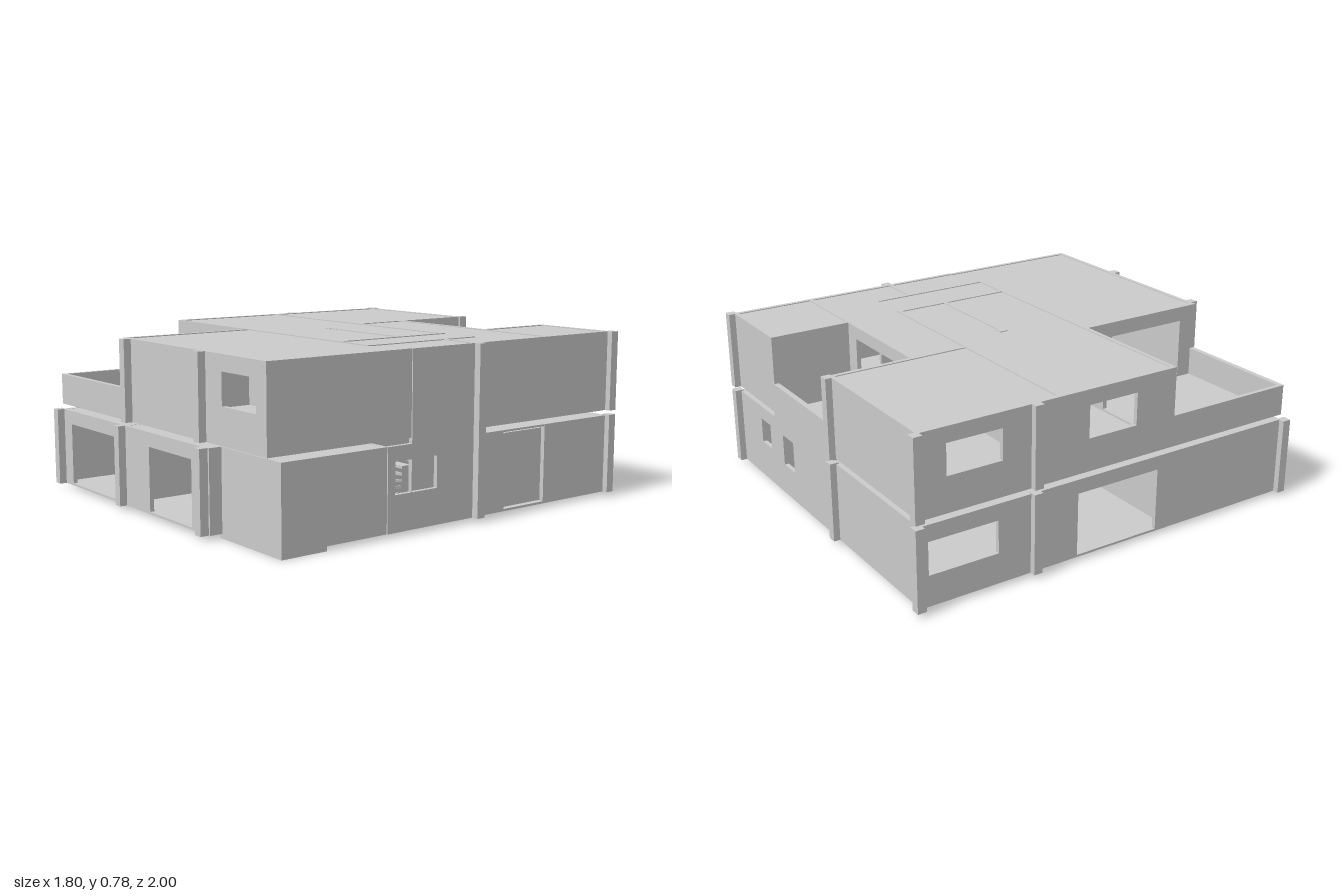
import * as THREE from 'three';

const T = 0.02;                       // wall thickness
const G0 = 0.02, G1 = 0.385;          // ground storey
const U0 = 0.41, U1 = 0.78;           // upper storey
const P1 = 0.555;                     // parapet top

export function createModel() {
  const house = new THREE.Group();
  house.name = 'house';
  const mat = new THREE.MeshStandardMaterial({ color: 0xcccccc, flatShading: true });

  const add = (name, geo) => {
    const m = new THREE.Mesh(geo, mat);
    m.name = name;
    house.add(m);
    return m;
  };
  const box = (name, x0, x1, y0, y1, z0, z1) =>
    add(name, new THREE.BoxGeometry(x1 - x0, y1 - y0, z1 - z0))
      .position.set((x0 + x1) / 2, (y0 + y1) / 2, (z0 + z1) / 2);

  // Wall panel drawn in its own plane, with rectangular holes [u0, u1, y0, y1]
  const panel = (u0, u1, y0, y1, holes) => {
    const rect = (P, a, b, c, d) => {
      const p = new P();
      p.moveTo(a, c); p.lineTo(b, c); p.lineTo(b, d); p.lineTo(a, d); p.closePath();
      return p;
    };
    const s = rect(THREE.Shape, u0, u1, y0, y1);
    for (const [a, b, c, d] of holes) s.holes.push(rect(THREE.Path, a, b, c, d));
    const g = new THREE.ExtrudeGeometry(s, { depth: T, bevelEnabled: false });
    return g.translate(0, 0, -T / 2);
  };
  // Walls running along x (at a given z) and along z (at a given x)
  const wallX = (name, z, x0, x1, y0, y1, ...holes) =>
    add(name, panel(x0, x1, y0, y1, holes)).position.z = z;
  const wallZ = (name, x, z0, z1, y0, y1, ...holes) => {
    const m = add(name, panel(z0, z1, y0, y1, holes));
    m.rotation.y = -Math.PI / 2;
    m.position.x = x;
  };

  // Ground slab with the stairwell notch
  const slab = new THREE.Shape([
    [-0.87, -0.97], [0.865, -0.97], [0.865, 0.06], [0.66, 0.06], [0.66, 0.38],
    [0.86, 0.38], [0.86, 0.9], [0.42, 0.9], [0.42, 0.965], [-0.87, 0.965],
  ].map(([x, z]) => new THREE.Vector2(x, -z)));
  const slabGeo = new THREE.ExtrudeGeometry(slab, { depth: 0.01, bevelEnabled: false });
  slabGeo.rotateX(-Math.PI / 2).translate(0, G0, 0);
  add('groundSlab', slabGeo);
  box('frontBase', 0.42, 0.86, 0, G0, 0.68, 0.9);

  // Ground storey, outer walls
  wallX('garageWall', 0.955, -0.86, -0.26, G0, G1, [-0.78, -0.345, G0 + 0.002, 0.32]);
  wallX('frontWall', 0.955, -0.26, 0.42, G0, G1, [-0.04, 0.31, G0 + 0.002, 0.32]);
  wallX('frontRoomWall', 0.89, 0.42, 0.86, G0, G1);
  wallZ('frontRoomReturn', 0.43, 0.89, 0.96, G0, G1);
  wallX('backWall', -0.96, -0.87, 0.865, G0, G1, [0.52, 0.62, 0.2, 0.32], [0.27, 0.38, 0.17, 0.32]);
  wallZ('sideWallLower', -0.86, -0.97, 0.965, G0, G1,
    [-0.93, -0.6, 0.16, 0.31], [-0.2, 0.23, G0 + 0.01, 0.32]);
  wallZ('sideWallFront', 0.85, 0.37, 0.9, G0, G1);
  wallZ('sideWallBack', 0.855, -0.97, -0.55, G0, G1);
  wallZ('entranceSide', 0.855, -0.29, -0.13, G0, G1);
  wallZ('entranceDoor', 0.825, -0.56, -0.29, G0, 0.365);
  box('entrancePost', 0.845, 0.865, G0, 0.37, -0.3, -0.275);

  // Stairwell wall through both storeys
  wallZ('stairwellWall', 0.855, -0.13, 0.24, G0, U1, [0.1, 0.239, 0.18, 0.32]);
  wallZ('stairwellLower', 0.855, 0.24, 0.37, G0, G1, [0.241, 0.33, 0.18, 0.32]);
  wallZ('stairwellInner', 0.655, -0.3, 0.3, G0, U1);
  wallX('stairwellBack', -0.12, 0.655, 0.86, G0, U1);
  wallX('stairwellFront', 0.375, 0.655, 0.86, G0, G1);

  // Upper storey, outer walls
  wallX('upperFrontWall', 0.955, -0.245, 0.86, U0, U1, [0.55, 0.79, 0.57, 0.71]);
  wallZ('upperSideFront', 0.85, 0.24, 0.965, U0, U1);
  wallZ('upperSideMiddle', 0.855, -0.57, -0.13, U0, U1);
  wallZ('upperSideBack', 0.855, -0.97, -0.57, U0, U1);
  wallX('upperBackRight', -0.96, 0.445, 0.865, U0, U1);
  wallX('upperBackLeft', -0.96, -0.87, -0.14, U0, U1);
  wallZ('upperSideLeft', -0.86, -0.97, 0.3, U0, U1,
    [-0.84, -0.58, 0.57, 0.71], [-0.15, 0.1, 0.56, 0.71]);
  wallX('upperTerraceWall', 0.3, -0.87, 0.66, U0, U1, [-0.75, -0.4, 0.43, 0.71]);
  wallZ('upperTerraceSide', -0.24, 0.3, 0.965, U0, U1, [0.45, 0.87, 0.43, 0.71]);
  wallX('backTerraceWall', -0.57, -0.15, 0.86, U0, U1, [-0.05, 0.36, 0.43, 0.72]);

  // Inner walls repeated on both storeys
  for (const [y0, y1] of [[G0, G1], [U0, U1]]) {
    wallX('innerWallBack', -0.295, -0.87, 0.465, y0, y1);
    wallZ('innerWallHall', 0.455, -0.3, 0.3, y0, y1);
    wallX('innerWallMiddle', -0.04, -0.05, 0.455, y0, y1);
    wallZ('innerWallBackLeft', -0.15, -0.97, -0.3, y0, y1);
    wallZ('innerWallBackRight', 0.445, -0.97, -0.57, y0, y1);
    box('innerColumn', -0.07, -0.03, y0, y1, -0.06, -0.02);
  }
  wallX('innerWallFront', 0.3, -0.87, 0.66, G0, G1);
  wallZ('innerWallGarage', -0.255, 0.3, 0.965, G0, G1);

  // Terrace parapets with a slim coping
  wallX('frontParapet', 0.955, -0.86, -0.25, U0, P1);
  box('frontCoping', -0.865, -0.25, P1 - 0.012, P1, 0.943, 0.968);
  wallZ('sideParapet', -0.86, 0.3, 0.965, U0, P1);
  wallX('backParapet', -0.96, -0.14, 0.46, G1, P1);
  box('backCoping', -0.14, 0.46, P1 - 0.012, P1, -0.973, -0.947);
  box('backTerraceSlab', -0.12, 0.42, G1, U0, -0.96, -0.58);

  // Ceilings and upper floors leave the stairwell open
  const areas = [
    [-0.86, 0.655, -0.3, 0.3], [-0.86, 0.86, -0.965, -0.3], [0.655, 0.86, -0.3, -0.12],
    [-0.86, 0.43, 0.3, 0.96],
  ];
  for (const [x0, x1, z0, z1] of areas) {
    box('ceiling', x0, x1, G1 - 0.01, G1 - 0.001, z0, z1);
    box('upperFloor', x0, x1, U0 + 0.001, U0 + 0.01, z0, z1);
  }
  box('frontRoomCeiling', 0.43, 0.86, G1 - 0.01, G1 - 0.001, 0.37, 0.9);
  box('frontRoomFloor', 0.43, 0.86, U0 + 0.001, U0 + 0.01, 0.3, 0.96);

  // Roofs, just below the wall tops
  const roofs = [
    [-0.865, 0.86, -0.3, 0.3], [-0.24, 0.855, 0.3, 0.96], [-0.865, -0.15, -0.965, -0.3],
    [-0.15, 0.86, -0.57, -0.3], [0.445, 0.86, -0.965, -0.57],
  ];
  for (const [x0, x1, z0, z1] of roofs) box('roof', x0, x1, U1 - 0.015, U1 - 0.004, z0, z1);

  // Columns
  const column = (x, z, y0, y1) => box('column', x - 0.021, x + 0.021, y0, y1, z - 0.021, z + 0.021);
  for (const [x, z] of [[-0.877, -0.979], [-0.15, -0.979], [0.87, -0.979], [-0.877, -0.42]]) {
    column(x, z, G0, G1 + 0.005);
    column(x, z, U0, U1);
  }
  for (const x of [-0.877, -0.27, 0.41]) column(x, 0.979, G0, G1);
  for (const x of [-0.2, 0.41]) column(x, 0.979, U0, U1);
  column(0.877, -0.13, G0, U1);

  // Stairs: winder treads round the turn, then a straight flight up
  const turn = 7, rise = 0.028;
  for (let i = 0; i < turn; i++) {
    const a = (i / turn) * Math.PI, b = ((i + 1) / turn) * Math.PI;
    const wedge = new THREE.Shape();
    wedge.moveTo(0, 0);
    wedge.lineTo(0.093 * Math.cos(a), 0.15 * Math.sin(a));
    wedge.lineTo(0.093 * Math.cos(b), 0.15 * Math.sin(b));
    wedge.closePath();
    const g = new THREE.ExtrudeGeometry(wedge, { depth: 0.012, bevelEnabled: false });
    g.rotateX(-Math.PI / 2).scale(1, 1, -1);
    // restore the winding after mirroring
    const p = g.attributes.position;
    for (let k = 0; k < p.count; k += 3) {
      const v = new THREE.Vector3().fromBufferAttribute(p, k + 1);
      p.setXYZ(k + 1, p.getX(k + 2), p.getY(k + 2), p.getZ(k + 2));
      p.setXYZ(k + 2, v.x, v.y, v.z);
    }
    g.computeVertexNormals();
    add('winderTread', g).position.set(0.755, 0.06 + i * rise, 0.2);
  }
  for (let i = 0; i < 6; i++) {
    const y = 0.06 + (turn + i) * rise, z = 0.2 - i * 0.045;
    box('straightTread', 0.665, 0.755, y, y + 0.012, z - 0.05, z);
  }
  return house;
}
